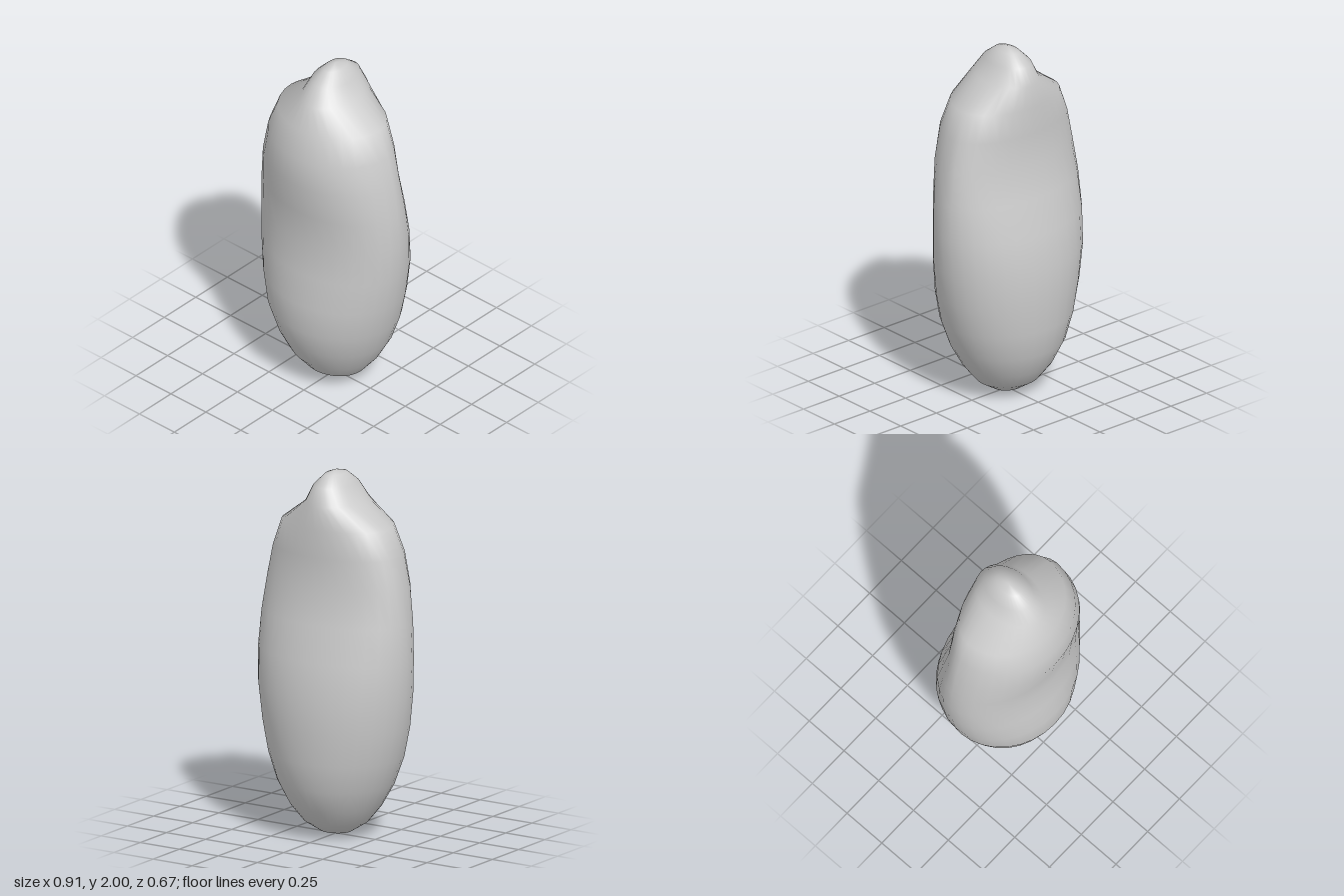
import * as THREE from 'three';
import { mergeVertices } from 'three/addons/utils/BufferGeometryUtils.js';

// Cross-section of each ring from the bottom tip to the top tip
const ROWS = 16, SEGMENTS = 32;
const halfWidth = [0, 0.09, 0.18, 0.255, 0.325, 0.38, 0.42, 0.447, 0.457, 0.447, 0.42, 0.38, 0.32, 0.15, 0.105, 0.05, 0];
const frontDepth = [0, 0.075, 0.155, 0.23, 0.29, 0.335, 0.337, 0.315, 0.295, 0.312, 0.338, 0.333, 0.287, 0.226, 0.155, 0.08, 0];
const backDepth = [0, 0.08, 0.165, 0.235, 0.29, 0.318, 0.328, 0.332, 0.3, 0.25, 0.206, 0.208, 0.207, 0.197, 0.155, 0.08, 0];

// Sphere reshaped ring by ring: dented in front, hollowed behind, pinched at the tip
function bodyGeometry() {
  const sphere = new THREE.SphereGeometry(1, SEGMENTS, ROWS);
  const pos = sphere.attributes.position;
  for (let i = 0; i < pos.count; i++) {
    const row = ROWS - Math.floor(i / (SEGMENTS + 1));
    const angle = ((i % (SEGMENTS + 1)) % SEGMENTS) / SEGMENTS * Math.PI * 2;
    const c = -Math.cos(angle), s = Math.sin(angle);
    const depth = s > 0 ? frontDepth[row] : backDepth[row];
    pos.setXYZ(i, c * halfWidth[row], 1 - Math.cos(Math.PI * row / ROWS), s * depth);
  }
  // Weld the seam so the shading runs all the way round
  sphere.deleteAttribute('uv');
  sphere.deleteAttribute('normal');
  const welded = mergeVertices(sphere, 1e-4);
  welded.computeVertexNormals();
  return welded;
}

export function createModel() {
  const group = new THREE.Group();
  const body = new THREE.Mesh(bodyGeometry(), new THREE.MeshStandardMaterial({ color: 0xcccccc }));
  body.name = 'body';
  group.add(body);
  return group;
}
